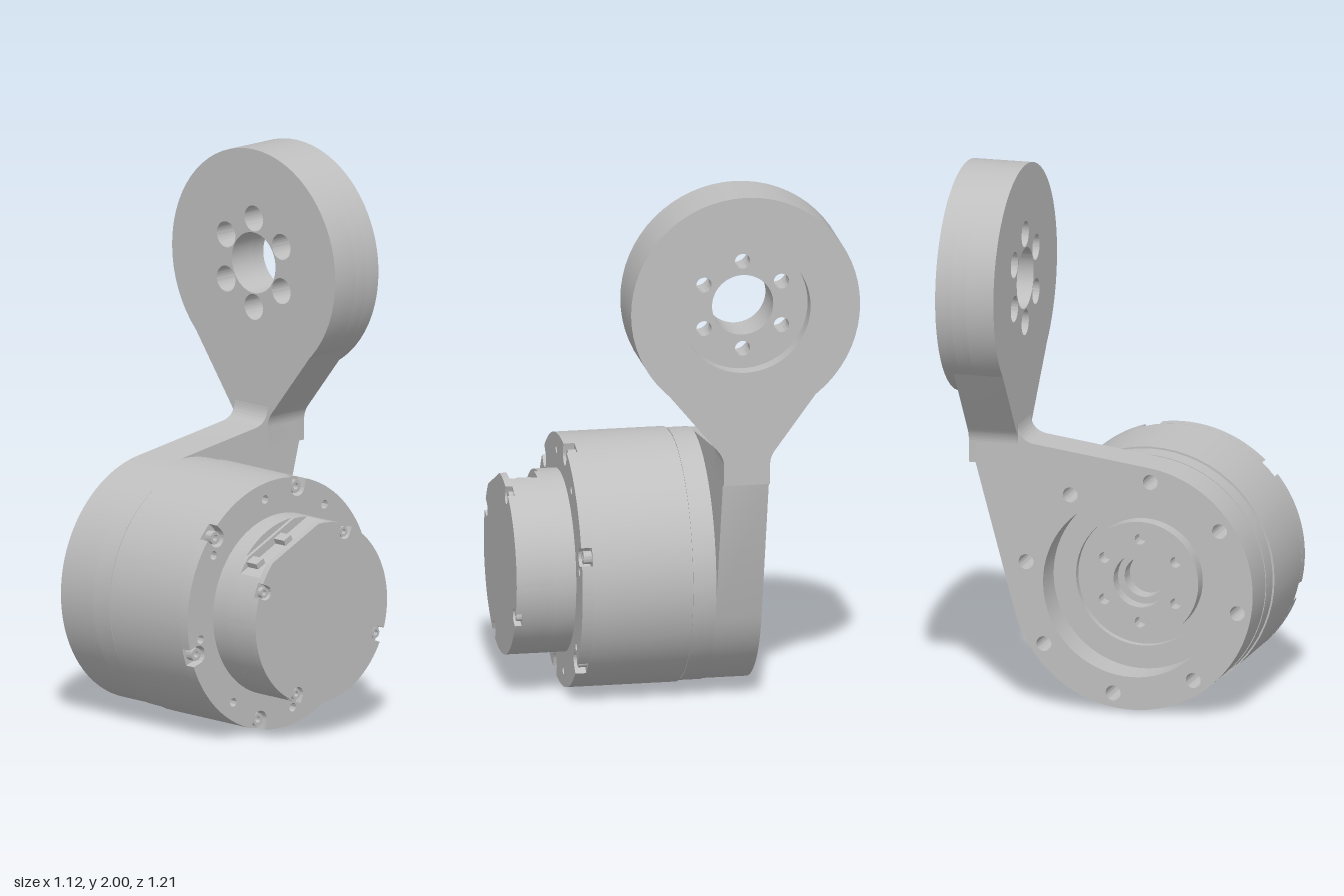
import * as THREE from 'three';
import { toCreasedNormals } from 'three/addons/utils/BufferGeometryUtils.js';

const CX = -0.095, CY = 0.47;   // motor axis
const HUB_Y = 1.577, HUB_U = 0.183; // upper hub centre (u = -z)
const rad = (d) => (d * Math.PI) / 180;
const polar = (r, deg) => [r * Math.cos(rad(deg)), r * Math.sin(rad(deg))];
const series = (start, n) => Array.from({ length: n }, (_, i) => start + (360 / n) * i);

function addHole(shape, x, y, r) {
  shape.holes.push(new THREE.Path().absarc(x, y, r, 0, Math.PI * 2, true));
}

function addHoleRing(shape, x, y, ringR, angles, r) {
  for (const a of angles) {
    const [px, py] = polar(ringR, a);
    addHole(shape, x + px, y + py, r);
  }
}

function disc(r, x = 0, y = 0) {
  return new THREE.Shape().absarc(x, y, r, 0, Math.PI * 2, false);
}

// Disc with open round slots in its rim and, optionally, a flat cut on one side
function rimShape(r, slots, slotCentre, slotR, flat) {
  const cuts = slots.map((a) => ({ a, half: Math.asin(slotR / r) }));
  if (flat) cuts.push({ a: flat.angle, half: Math.acos(flat.dist / r), flat: true });
  cuts.sort((p, q) => p.a - q.a);
  const shape = new THREE.Shape();
  cuts.forEach((c, i) => {
    const last = i === cuts.length - 1;
    const next = cuts[(i + 1) % cuts.length];
    const a = rad(c.a);
    if (!c.flat) {
      const [x, y] = polar(slotCentre, c.a);
      shape.absarc(x, y, slotR, a - Math.PI / 2, a + Math.PI / 2, true);
    }
    shape.absarc(0, 0, r, a + c.half, rad(next.a + (last ? 360 : 0)) - next.half, false);
  });
  shape.closePath();
  return shape;
}

function extrude(shape, from, to, segments = 24) {
  const g = new THREE.ExtrudeGeometry(shape, { depth: to - from, bevelEnabled: false, curveSegments: segments });
  g.translate(0, 0, from);
  return toCreasedNormals(g, 0.6);
}

export function createModel() {
  const model = new THREE.Group();
  const grey = new THREE.MeshStandardMaterial({ color: 0xbfbfbf });
  grey.name = 'grey metal';
  const add = (parent, name, geometry) => {
    const mesh = new THREE.Mesh(geometry, grey);
    mesh.name = name;
    parent.add(mesh);
    return mesh;
  };
  const group = (name) => {
    const g = new THREE.Group();
    g.name = name;
    model.add(g);
    return g;
  };

  // Motor, built around its own axis
  const motor = group('motor');
  motor.position.set(CX, CY, 0);
  const profile = [
    [0, -0.04], [0.075, -0.04], [0.075, -0.11], [0.25, -0.11], [0.25, -0.14], [0.335, -0.14],
    [0.335, -0.11], [0.46, -0.11], [0.46, -0.025], [0.456, -0.025], [0.456, -0.018],
    [0.465, -0.018], [0.465, 0.345], [0, 0.345],
  ].map(([r, z]) => new THREE.Vector2(r, z));
  add(motor, 'motorBody', toCreasedNormals(new THREE.LatheGeometry(profile, 64).rotateX(Math.PI / 2), 0.6));

  const bodySlots = series(17, 6);
  const plateHoles = series(10, 8);
  const flange = rimShape(0.465, bodySlots, 0.43, 0.034);
  addHoleRing(flange, 0, 0, 0.405, plateHoles, 0.016);
  add(motor, 'frontFlange', extrude(flange, 0.345, 0.385));

  // Output disc seen through the bracket
  const output = disc(0.22);
  addHole(output, 0, 0, 0.1);
  addHoleRing(output, 0, 0, 0.155, series(30, 6), 0.02);
  add(motor, 'outputDisc', extrude(output, -0.17, -0.11, 40));

  // Front cap with a connector pocket
  const flatAngle = 115;
  const capSlots = series(67, 4);
  const flat = { angle: flatAngle, dist: 0.31 };
  add(motor, 'capBase', extrude(disc(0.335), 0.385, 0.465, 48));
  add(motor, 'capStep', extrude(rimShape(0.335, [], 0, 0, flat), 0.465, 0.478, 64));
  add(motor, 'capPocket', extrude(rimShape(0.335, [], 0, 0, { angle: flatAngle, dist: 0.278 }), 0.478, 0.58, 64));
  add(motor, 'capFace', extrude(rimShape(0.335, capSlots, 0.308, 0.027, flat), 0.58, 0.605));

  // Connector pins in the pocket
  for (const t of [-0.124, 0.03]) {
    const [nx, ny] = polar(0.285, flatAngle);
    const pin = add(motor, 'connectorPin', new THREE.BoxGeometry(0.04, 0.03, 0.052));
    pin.position.set(nx + t * Math.sin(rad(flatAngle)), ny - t * Math.cos(rad(flatAngle)), 0.504);
    pin.rotation.z = rad(flatAngle - 90);
  }

  // Socket screws in the rim slots
  const addScrews = (angles, ringR, r, from, to) => {
    const head = disc(r);
    addHole(head, 0, 0, r * 0.5);
    const geometry = extrude(head, from, to, 8);
    for (const a of angles) {
      const [x, y] = polar(ringR, a);
      add(motor, 'screw', geometry).position.set(x, y, 0);
    }
  };
  addScrews(bodySlots, 0.43, 0.024, 0.345, 0.375);
  addScrews(capSlots, 0.308, 0.019, 0.58, 0.598);

  // Lower bracket plate: ring around the motor, tangent to the arm
  const bracket = group('bracket');
  const plate = new THREE.Shape();
  plate.absarc(CX, CY, 0.457, rad(97), rad(345), false);
  plate.lineTo(0.495, 0.9);
  plate.lineTo(0.495, 1.05);
  plate.lineTo(0.335, 1.05);
  plate.quadraticCurveTo(0.33, 0.99, 0.27, 0.982);
  plate.closePath();
  addHole(plate, CX, CY, 0.335);
  addHoleRing(plate, CX, CY, 0.405, plateHoles, 0.028);
  add(bracket, 'bracketPlate', extrude(plate, -0.28, -0.11, 36));

  // Arm web, flaring from the neck up to the hub
  const web = new THREE.Shape();
  const [wx, wy] = polar(0.42, -42);
  web.moveTo(0.11, 0.9);
  web.lineTo(0.28, 0.9);
  web.lineTo(0.28, 0.975);
  web.quadraticCurveTo(0.28, 1.005, 0.3, 1.03);
  web.lineTo(HUB_U + wx, HUB_Y + wy);
  web.absarc(HUB_U, HUB_Y, 0.42, rad(-42), rad(-138), true);
  web.lineTo(0.09, 1.03);
  web.quadraticCurveTo(0.11, 1.005, 0.11, 0.975);
  web.closePath();
  add(bracket, 'armWeb', extrude(web, 0.335, 0.52, 12).rotateY(Math.PI / 2));

  // Upper hub in layers: counterbored face, bolt floor, recess rim
  const hubLayers = [
    ['hubInnerFace', 0.335, 0.44, 0.113, 0.048],
    ['hubBoltFloor', 0.44, 0.495, 0.113, 0.028],
    ['hubRim', 0.495, 0.555, 0.24, 0],
  ];
  for (const [name, from, to, bore, bolt] of hubLayers) {
    const layer = disc(0.423, HUB_U, HUB_Y);
    addHole(layer, HUB_U, HUB_Y, bore);
    if (bolt) addHoleRing(layer, HUB_U, HUB_Y, 0.165, series(30, 6), bolt);
    add(bracket, name, extrude(layer, from, to, 32).rotateY(Math.PI / 2));
  }

  return model;
}
